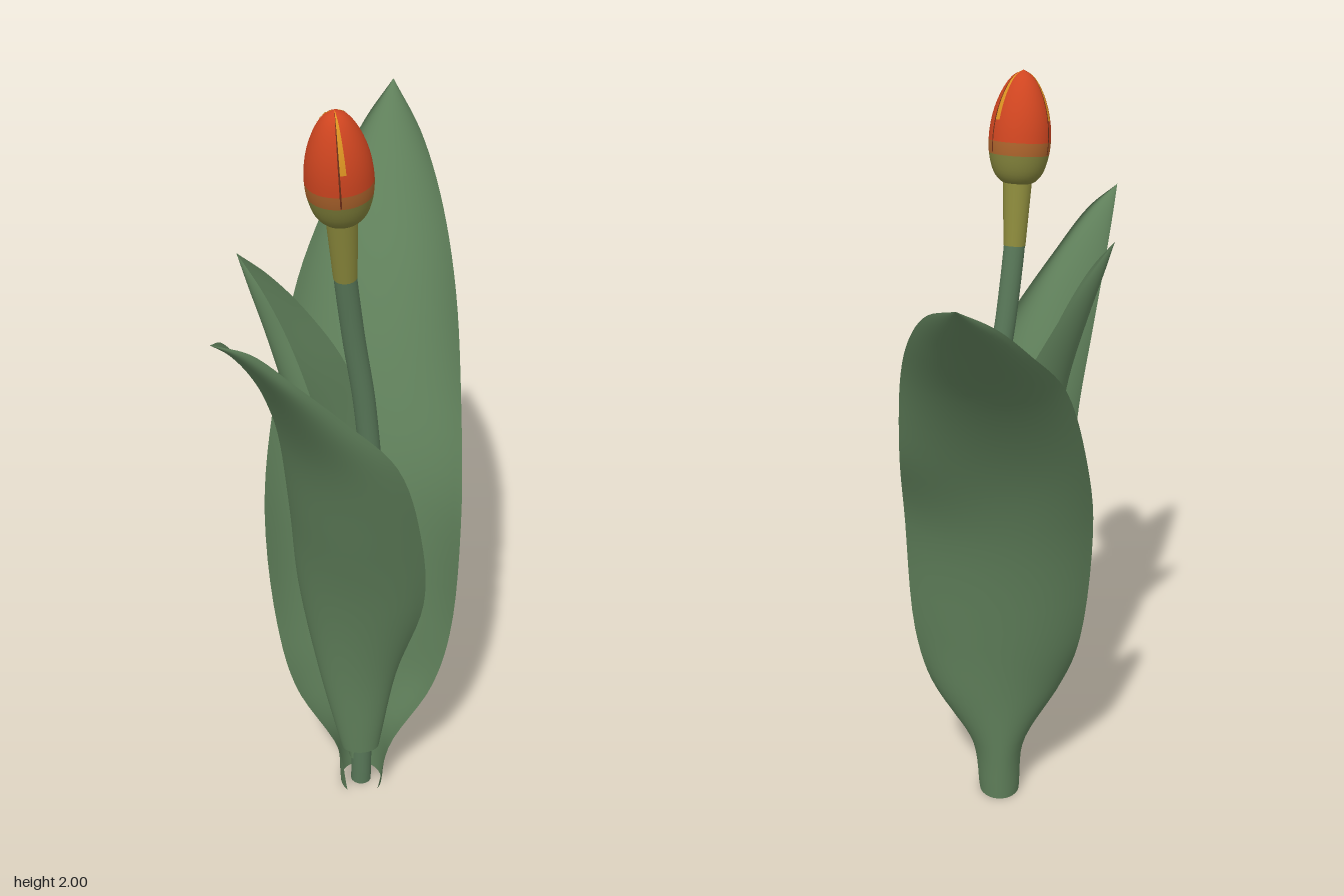
import * as THREE from 'three';

const paint = (name, color, side = THREE.FrontSide) => {
  const m = new THREE.MeshStandardMaterial({ color, side });
  m.name = name;
  return m;
};
const V = (x, y, z) => new THREE.Vector3(x, y, z);

// Leaf lofted through rows of [y, edgeX, edgeZ, spineX, spineZ, edgeX, edgeZ].
// curlBase and curlTip are the half angles of the cupped cross-section.
function leafGeometry(rows, curlBase, curlTip) {
  const rail = i => new THREE.CatmullRomCurve3(rows.map(r => V(r[i], r[0], r[i + 1])));
  const [left, spine, right] = [1, 3, 5].map(rail);
  const nx = 20, ny = 48;
  const geo = new THREE.PlaneGeometry(1, 1, nx, ny);
  const pos = geo.attributes.position;
  for (let j = 0; j <= ny; j++) {
    const t = j / ny;
    const L = left.getPoint(t), S = spine.getPoint(t), R = right.getPoint(t);
    const half = R.clone().sub(L).multiplyScalar(0.5);
    const depth = L.clone().add(R).multiplyScalar(0.5).sub(S);
    const A = THREE.MathUtils.lerp(curlBase, curlTip, Math.min(1, t * 3));
    const reach = A > Math.PI / 2 ? 1 : Math.sin(A);
    for (let i = 0; i <= nx; i++) {
      const a = (i / nx * 2 - 1) * A;
      const p = S.clone()
        .addScaledVector(half, Math.sin(a) / reach)
        .addScaledVector(depth, (1 - Math.cos(a)) / (1 - Math.cos(A)));
      pos.setXYZ(j * (nx + 1) + i, p.x, p.y, p.z);
    }
  }
  geo.computeVertexNormals();
  return geo;
}

const BACK_LEAF = [
  [0, 0, 0.2, 0.055, 0.088, 0.11, 0.2],
  [0.15, -0.015, 0.2, 0.055, 0.08, 0.13, 0.2],
  [0.33, -0.12, 0.16, 0.06, 0.07, 0.235, 0.19],
  [0.5, -0.165, 0.11, 0.065, 0.05, 0.28, 0.19],
  [0.85, -0.19, 0.07, 0.07, -0.01, 0.3, 0.18],
  [1.1, -0.155, -0.04, 0.09, -0.105, 0.312, 0.03],
  [1.35, -0.085, -0.2, 0.13, -0.26, 0.308, -0.1],
  [1.52, 0.02, -0.39, 0.16, -0.42, 0.29, -0.27],
  [1.64, 0.11, -0.53, 0.185, -0.55, 0.255, -0.44],
  [1.72, 0.2, -0.635, 0.2, -0.635, 0.2, -0.635],
];
const FRONT_LEAF = [
  [0.14, 0, 0.18, 0.05, 0.215, 0.1, 0.18],
  [0.39, -0.06, 0.16, 0.03, 0.23, 0.14, 0.2],
  [0.65, -0.11, 0.12, 0, 0.27, 0.2, 0.26],
  [0.9, -0.13, 0.12, -0.04, 0.33, 0.18, 0.33],
  [1.15, -0.16, 0.17, -0.08, 0.4, 0.11, 0.41],
  [1.32, -0.205, 0.27, -0.14, 0.465, -0.02, 0.48],
  [1.45, -0.25, 0.4, -0.2, 0.53, -0.13, 0.54],
  [1.56, -0.29, 0.53, -0.27, 0.595, -0.23, 0.59],
  [1.61, -0.315, 0.635, -0.315, 0.635, -0.315, 0.635],
];
const SIDE_LEAF = [
  [0.1, 0.03, 0.11, 0.02, 0.15, 0.03, 0.19],
  [0.28, 0.05, 0.12, 0, 0.15, 0.04, 0.2],
  [0.52, 0.05, 0.08, -0.03, 0.15, 0.02, 0.225],
  [0.84, 0.07, 0.03, -0.07, 0.16, 0, 0.3],
  [1.05, 0.07, 0.02, -0.1, 0.165, -0.03, 0.31],
  [1.23, 0.02, 0.04, -0.13, 0.165, -0.07, 0.29],
  [1.4, -0.08, 0.075, -0.18, 0.165, -0.13, 0.235],
  [1.52, -0.17, 0.12, -0.22, 0.165, -0.19, 0.2],
  [1.6, -0.245, 0.165, -0.245, 0.165, -0.245, 0.165],
];

// Turns a mesh built along +y so that it runs from a towards b
function aim(object, a, b) {
  object.position.copy(a);
  object.quaternion.setFromUnitVectors(V(0, 1, 0), b.clone().sub(a).normalize());
  return object;
}

export function createModel() {
  const model = new THREE.Group();
  const leafGreen = paint('leaf green', 0x5f7f5a, THREE.DoubleSide);
  const stemGreen = paint('stem green', 0x587758);
  const olive = paint('olive neck', 0x8c8a3c);
  const budGreen = paint('bud green', 0x80803a);
  const rust = paint('rust', 0xaa622b);
  const red = paint('petal red', 0xcf4520);
  const yellow = paint('petal edge yellow', 0xdd9422);
  const seamDark = paint('seam brown', 0x6e2f18);

  const add = (parent, name, geometry, material) => {
    const mesh = new THREE.Mesh(geometry, material);
    mesh.name = name;
    parent.add(mesh);
    return mesh;
  };

  // Leaves
  add(model, 'backLeaf', leafGeometry(BACK_LEAF, 2.3, 0.9), leafGreen);
  add(model, 'frontLeaf', leafGeometry(FRONT_LEAF, 1.5, 1.1), leafGreen);
  add(model, 'sideLeaf', leafGeometry(SIDE_LEAF, 1.5, 1.1), leafGreen);

  // Stem with a flared neck under the bud
  const neckBase = V(0, 1.57, 0.25), budBase = V(-0.01, 1.725, 0.276), budTip = V(-0.03, 2, 0.319);
  const path = new THREE.CatmullRomCurve3([
    V(0.055, 0, 0.15), V(0.06, 0.4, 0.16), V(0.08, 0.8, 0.19),
    V(0.052, 1.2, 0.212), V(0.022, 1.4, 0.228), neckBase, V(-0.005, 1.62, 0.258),
  ]);
  add(model, 'stem', new THREE.TubeGeometry(path, 48, 0.027, 16), stemGreen);
  const foot = add(model, 'stemFoot', new THREE.CircleGeometry(0.027, 16), stemGreen);
  foot.position.set(0.055, 0.001, 0.15);
  foot.rotation.x = Math.PI / 2;
  const neckLength = neckBase.distanceTo(budBase) + 0.01;
  const neck = new THREE.CylinderGeometry(0.037, 0.028, neckLength, 20).translate(0, neckLength / 2, 0);
  aim(add(model, 'neck', neck, olive), neckBase, budBase);

  // Bud: three petals, each split into colour bands by height
  const bud = aim(new THREE.Group(), budBase, budTip);
  bud.name = 'bud';
  model.add(bud);
  const outline = new THREE.CatmullRomCurve3([
    V(0, 0, 0), V(0.035, 0, 0), V(0.058, 0.02, 0), V(0.073, 0.06, 0), V(0.078, 0.11, 0),
    V(0.071, 0.17, 0), V(0.052, 0.225, 0), V(0.027, 0.263, 0), V(0, 0.279, 0),
  ]);
  const band = (from, to, lift = 0) => Array.from({ length: 13 }, (_, i) => {
    const p = outline.getPoint(from + (to - from) * i / 12);
    return new THREE.Vector2(Math.max(0, p.x) + lift, p.y);
  });
  const third = Math.PI * 2 / 3;
  for (let k = 0; k < 3; k++) {
    const seam = k * third;
    const petal = new THREE.Group();
    petal.name = 'petal' + (k + 1);
    bud.add(petal);
    [['petalBase', 0, 0.41, budGreen], ['petalBlend', 0.41, 0.49, rust], ['petalTop', 0.49, 1, red]]
      .forEach(([name, from, to, mat]) =>
        add(petal, name, new THREE.LatheGeometry(band(from, to), 14, seam, third), mat));
    // Yellow rim and dark seam where neighbouring petals meet
    add(petal, 'petalRim', new THREE.LatheGeometry(band(0.6, 1, 0.0015), 4, seam - 0.03, 0.2), yellow);
    add(petal, 'petalSeam', new THREE.LatheGeometry(band(0.42, 0.98, 0.002), 2, seam - 0.07, 0.05), seamDark);
  }
  return model;
}
